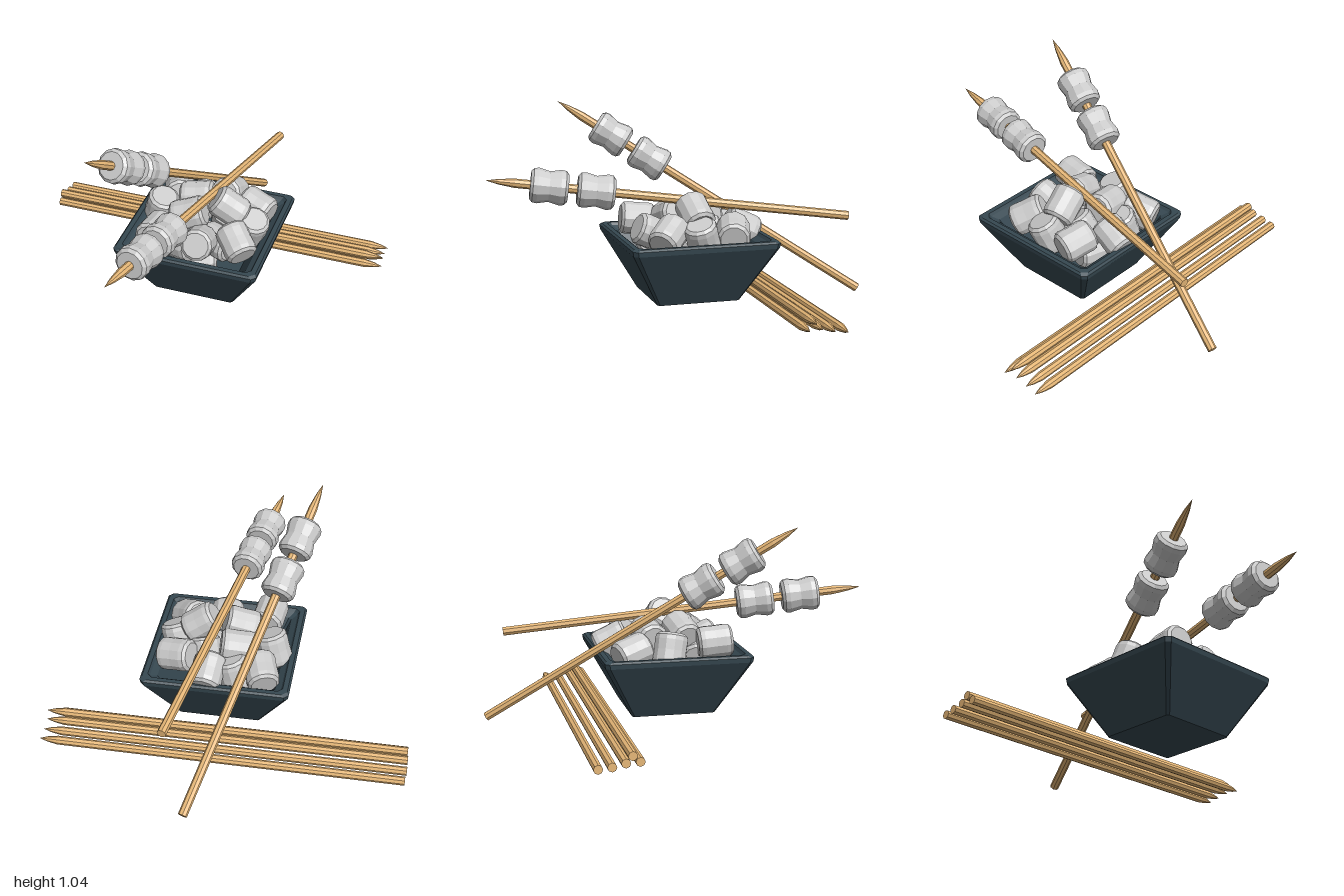
import * as THREE from 'three';

const wood = new THREE.MeshStandardMaterial({ color: 0xe6b777, flatShading: true });
const slate = new THREE.MeshStandardMaterial({ color: 0x364851, flatShading: true });
const white = new THREE.MeshStandardMaterial({ color: 0xcccccc, flatShading: true });
const UP = new THREE.Vector3(0, 1, 0);

function lathe(profile, sides) {
  return new THREE.LatheGeometry(profile.map(([r, y]) => new THREE.Vector2(r, y)), sides);
}

// Pointed stick running from its blunt end to its tip
function stick(name, from, to, radius, point) {
  const a = new THREE.Vector3(...from), dir = new THREE.Vector3(...to).sub(a);
  const len = dir.length();
  const mesh = new THREE.Mesh(
    lathe([[0, 0], [radius, 0], [radius, len - point], [radius * 0.6, len - point * 0.45], [0, len]], 8), wood);
  mesh.name = name;
  mesh.position.copy(a);
  mesh.quaternion.setFromUnitVectors(UP, dir.normalize());
  return mesh;
}

// Marshmallow: faceted barrel, pinched at the waist by the given amount
function marshmallow(name, pos, axis, length, radius, pinch) {
  const h = length / 2, r = radius;
  const mesh = new THREE.Mesh(lathe([
    [0, -h], [r * 0.78, -h], [r * 0.96, -h * 0.85], [r, -h * 0.6], [r * (1 - pinch), 0],
    [r, h * 0.6], [r * 0.96, h * 0.85], [r * 0.78, h], [0, h],
  ], 12), white);
  mesh.name = name;
  mesh.position.set(...pos);
  mesh.quaternion.setFromUnitVectors(UP, new THREE.Vector3(...axis).normalize());
  return mesh;
}

// Square bowl: chamfered square rings of [half width, height, chamfer], outside then inside
function bowl() {
  const rings = [
    [0, 0.047, 0], [0.22, 0.047, 0.012], [0.384, 0.345, 0.022], [0.388, 0.37, 0.022], [0.378, 0.38, 0.026],
    [0.352, 0.38, 0.024], [0.342, 0.365, 0.02], [0.31, 0.345, 0.015], [0.19, 0.09, 0.01], [0, 0.09, 0],
  ];
  const pos = [], index = [];
  for (const [w, y, c] of rings) {
    const k = w - c;
    for (const [x, z] of [[w, -k], [w, k], [k, w], [-k, w], [-w, k], [-w, -k], [-k, -w], [k, -w]]) pos.push(x, y, z);
  }
  for (let i = 0; i < rings.length - 1; i++) {
    for (let j = 0; j < 8; j++) {
      const a = i * 8 + j, b = i * 8 + (j + 1) % 8;
      index.push(b, a, a + 8, b, a + 8, b + 8);
    }
  }
  const geo = new THREE.BufferGeometry();
  geo.setAttribute('position', new THREE.Float32BufferAttribute(pos, 3));
  geo.setIndex(index);
  geo.computeVertexNormals();
  const mesh = new THREE.Mesh(geo, slate);
  mesh.name = 'bowl';
  mesh.position.set(0.053, 0, -0.03);
  return mesh;
}

// Skewer with marshmallows threaded on at the given fractions of its length
function skewer(name, from, to, fractions) {
  const group = new THREE.Group();
  group.name = name;
  group.add(stick('skewerStick', from, to, 0.024, 0.15));
  const a = new THREE.Vector3(...from), b = new THREE.Vector3(...to);
  const axis = b.clone().sub(a).toArray();
  for (const t of fractions) {
    group.add(marshmallow('skeweredMarshmallow', a.clone().lerp(b, t).toArray(), axis, 0.195, 0.092, 0.14));
  }
  return group;
}

export function createModel() {
  const model = new THREE.Group();
  model.add(bowl());

  // Heaped marshmallows: position, axis
  const pile = new THREE.Group();
  pile.name = 'marshmallowPile';
  const heap = [
    [[-0.17, 0.39, -0.25], [0.35, 0.3, 1]],
    [[0.10, 0.40, -0.31], [-0.1, 0.5, 1]],
    [[0.28, 0.41, -0.21], [1, -0.25, 0.3]],
    [[-0.03, 0.45, -0.14], [1, 0.15, -0.15]],
    [[-0.21, 0.40, -0.06], [0.3, 1, 0.2]],
    [[-0.02, 0.46, 0.04], [1, 0.35, -0.2]],
    [[0.18, 0.50, -0.035], [0.8, -0.55, -0.12]],
    [[0.27, 0.41, 0.13], [0.6, -0.45, 0.6]],
    [[0.08, 0.39, 0.17], [0.1, 0.45, 1]],
    [[-0.15, 0.425, 0.19], [-0.1, 0.1, 1]],
    [[-0.03, 0.36, -0.25], [0.3, 1, 0.1]],
    [[0.30, 0.39, -0.04], [0.3, 0.9, 0.3]],
    [[-0.03, 0.34, 0.14], [1, 0.2, 0.4]],
    [[0.14, 0.37, -0.13], [0.2, 0.8, 0.5]],
    [[0.14, 0.31, 0.03], [1, 0, 0.5]],
    [[-0.08, 0.30, -0.05], [0.4, 0.3, 1]],
    [[0.06, 0.20, -0.12], [1, 0, 0.3]],
    [[0.05, 0.20, 0.06], [1, 0, -0.3]],
  ];
  for (const [p, axis] of heap) pile.add(marshmallow('marshmallow', p, axis, 0.18, 0.087, 0.02));
  model.add(pile);

  // Two loaded skewers leaning across the bowl
  model.add(skewer('steepSkewer', [0.105, 0.022, -0.98], [-0.37, 1.04, 0.565], [0.698, 0.825]));
  model.add(skewer('shallowSkewer', [0.22, 0.45, -0.87], [-0.105, 0.675, 1.0], [0.702, 0.829]));

  // Spare sticks on the ground behind: y, z, shift along x
  const spares = new THREE.Group();
  spares.name = 'spareSticks';
  for (const [y, z, dx] of [
    [0.056, -0.365, 0.006], [0.088, -0.402, 0], [0.056, -0.435, -0.004], [0.042, -0.5, -0.005], [0.034, -0.565, 0],
  ]) spares.add(stick('spareStick', [-0.96 + dx, y, z], [0.954 + dx, y, z], 0.023, 0.1));
  model.add(spares);

  return model;
}
